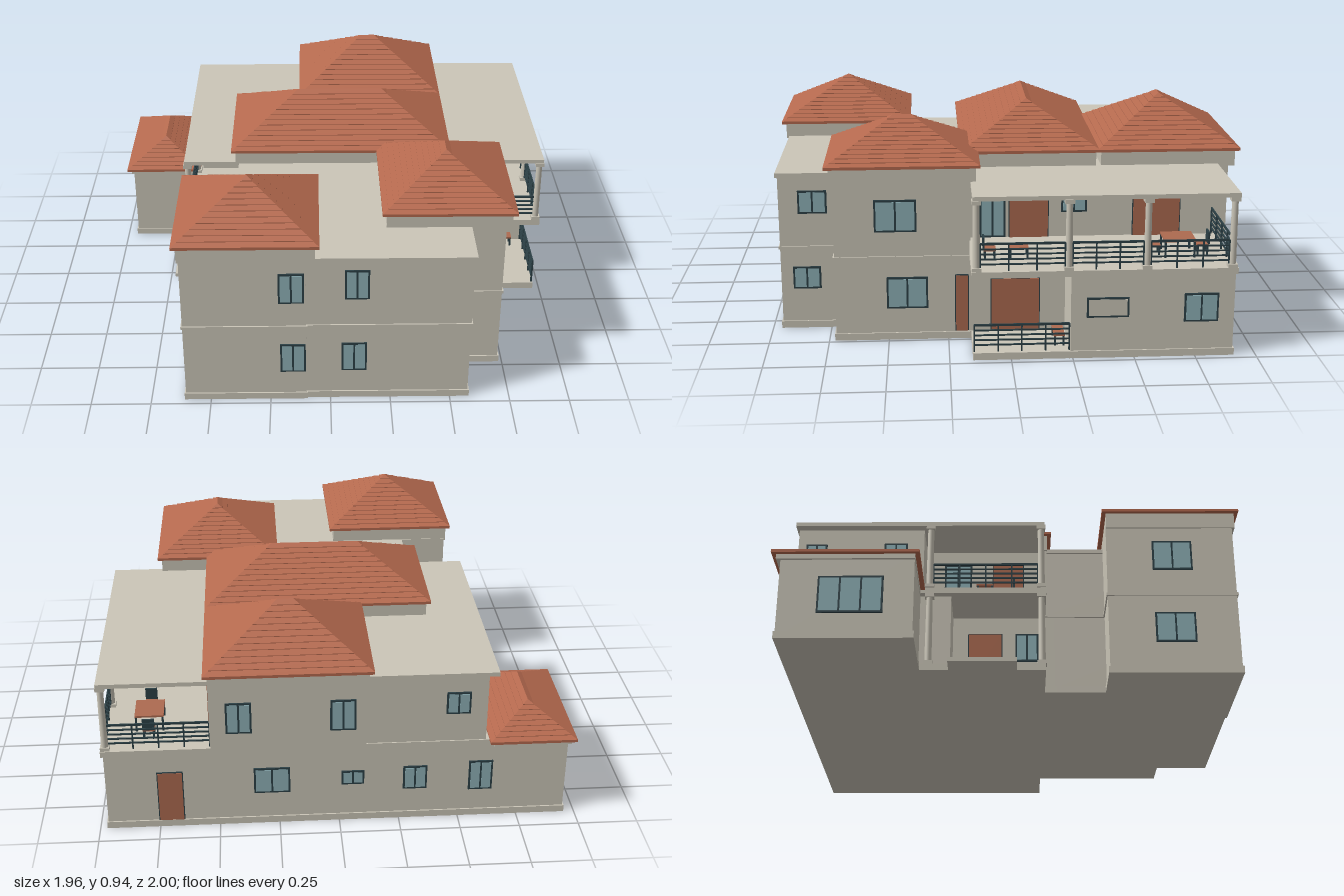
import * as THREE from 'three';

export function createModel() {
  const mat = (name, color, side = THREE.FrontSide) =>
    Object.assign(new THREE.MeshStandardMaterial({ color, side }), { name });
  const wall = mat('wall plaster', 0xcbc6b8);
  const tile = mat('roof tile', 0xb4694e);
  const wood = mat('door wood', 0xad6a50);
  const glass = mat('window glass', 0x8fb2b8);
  const metal = mat('dark metal', 0x2c4046);
  const house = new THREE.Group();
  house.name = 'house';

  const add = (parent, name, geo, m) => {
    const mesh = new THREE.Mesh(geo, m);
    mesh.name = name;
    parent.add(mesh);
    return mesh;
  };
  // Box given by its limits on each axis
  const box = (name, x0, x1, y0, y1, z0, z1, m = wall, parent = house) => {
    const b = add(parent, name, new THREE.BoxGeometry(x1 - x0, y1 - y0, z1 - z0), m);
    b.position.set((x0 + x1) / 2, (y0 + y1) / 2, (z0 + z1) / 2);
    return b;
  };

  // Hip roof laid in stepped tile courses
  function hipRoof(name, x0, x1, z0, z1, y0, y1, courses = 12) {
    const half = Math.min(x1 - x0, z1 - z0) / 2, step = 0.003, pos = [];
    const ring = (t, y) => {
      const i = half * t;
      return [[x0 + i, y, z1 - i], [x1 - i, y, z1 - i], [x1 - i, y, z0 + i], [x0 + i, y, z0 + i]];
    };
    const rings = [ring(0, y0)];
    for (let c = 0; c < courses; c++) {
      const a = c / courses, b = (c + 1) / courses, base = y0 + 0.012, rise = y1 - base;
      rings.push(ring(a, base + rise * a), ring(b, base + rise * b - (c < courses - 1 ? step : 0)));
    }
    for (let r = 0; r + 1 < rings.length; r++) {
      for (let k = 0; k < 4; k++) {
        const n = (k + 1) % 4, [a, b] = [rings[r], rings[r + 1]];
        pos.push(...a[k], ...a[n], ...b[n], ...a[k], ...b[n], ...b[k]);
      }
    }
    const u = rings[0];
    pos.push(...u[0], ...u[2], ...u[1], ...u[0], ...u[3], ...u[2]);
    const g = new THREE.BufferGeometry();
    g.setAttribute('position', new THREE.Float32BufferAttribute(pos, 3));
    g.computeVertexNormals();
    add(house, name, g, tile);
  }

  // Group lying on a wall: side is front, right, back or left; u runs along x or z
  const turns = { front: 0, right: Math.PI / 2, back: Math.PI, left: -Math.PI / 2 };
  function onWall(name, side, plane, u, y) {
    const g = new THREE.Group();
    g.name = name;
    g.rotation.y = turns[side];
    if (side === 'front' || side === 'back') g.position.set(u, y, plane);
    else g.position.set(plane, y, u);
    house.add(g);
    return g;
  }
  function windowAt(side, plane, u, y, w, h, panes = 2, m = glass) {
    const g = onWall('window', side, plane, u, y), f = 0.008;
    box('windowFrame', -w / 2, w / 2, -h / 2, h / 2, -0.002, 0.006, metal, g);
    const pw = (w - f * (panes + 1)) / panes;
    for (let i = 0; i < panes; i++) {
      const x = -w / 2 + f + i * (pw + f);
      box('windowPane', x, x + pw, -h / 2 + f, h / 2 - f, 0, 0.008, m, g);
    }
  }
  function doorAt(side, plane, u, y0, w, h) {
    const g = onWall('door', side, plane, u, y0);
    box('doorFrame', -w / 2 - 0.004, w / 2 + 0.004, 0, h + 0.004, -0.002, 0.005, metal, g);
    box('doorLeaf', -w / 2, w / 2, 0, h, 0, 0.008, wood, g);
  }

  // Railing with level bars between posts
  function railing(xa, za, xb, zb, y) {
    const g = new THREE.Group(), len = Math.hypot(xb - xa, zb - za), n = Math.max(2, Math.round(len / 0.11));
    g.name = 'railing';
    g.position.set(xa, y, za);
    g.rotation.y = Math.atan2(-(zb - za), xb - xa);
    for (let i = 0; i < 5; i++) {
      const yy = 0.025 + i * 0.021;
      box('railBar', 0, len, yy, yy + (i === 4 ? 0.009 : 0.006), -0.003, 0.003, metal, g);
    }
    for (let i = 0; i <= n; i++) {
      const x = (len * i) / n;
      box('railPost', x - 0.003, x + 0.003, 0, 0.115, -0.004, 0.004, metal, g);
    }
    house.add(g);
  }
  function column(x, z, y0, y1) {
    const c = add(house, 'column', new THREE.CylinderGeometry(0.013, 0.015, y1 - y0, 16), wall);
    c.position.set(x, (y0 + y1) / 2, z);
    box('columnBase', x - 0.019, x + 0.019, y0, y0 + 0.015, z - 0.019, z + 0.019);
    box('columnCapital', x - 0.019, x + 0.019, y1 - 0.018, y1, z - 0.019, z + 0.019);
  }
  // Table, bench or seat on four legs, with an optional back rest
  function furniture(name, x, z, y, w, d, h, top, back = 0) {
    const g = new THREE.Group();
    g.name = name;
    g.position.set(x, y, z);
    box('top', -w / 2, w / 2, h - 0.008, h, -d / 2, d / 2, top, g);
    for (const sx of [-1, 1]) for (const sz of [-1, 1]) {
      const lx = sx * (w / 2 - 0.005), lz = sz * (d / 2 - 0.005);
      box('leg', lx - 0.004, lx + 0.004, 0, h - 0.008, lz - 0.004, lz + 0.004, metal, g);
    }
    if (back) box('backRest', -w / 2, w / 2, h, h + 0.05, back * d / 2 - 0.004, back * d / 2 + 0.004, metal, g);
    house.add(g);
  }

  // Ground floor rooms, each on a slightly wider plinth: x0, x1, z0, z1
  const rooms = [
    [-0.605, 0.965, -0.905, -0.24], [-0.95, -0.6, -0.905, -0.37], [-0.39, 0.73, -0.3, 0.2],
    [-0.605, -0.1, 0.42, 0.965], [-0.39, 0.575, 0.15, 0.957], [0.23, 0.73, 0.16, 0.72],
  ];
  for (const [x0, x1, z0, z1] of rooms) {
    box('groundRoom', x0, x1, 0, 0.37, z0, z1);
    box('plinth', x0 - 0.006, x1 + 0.006, 0, 0.03, z0 - 0.006, z1 + 0.006);
  }
  // Porch floors and entrance step
  box('rightPorchFloor', 0.6, 0.97, 0, 0.03, -0.3, 0.155);
  box('leftPorchFloor', -0.64, -0.38, 0, 0.03, -0.38, 0.155);
  box('entranceStep', -0.73, -0.63, 0, 0.018, -0.245, 0.035);

  // Balcony floors
  box('rightBalconyFloor', 0.5, 0.975, 0.352, 0.378, -0.913, 0.16);
  box('leftBalconyFloor', -0.64, -0.38, 0.352, 0.378, -0.38, 0.16);

  // Upper floor rooms
  box('upperBackRoom', -0.605, 0.53, 0.36, 0.68, -0.9, -0.36);
  box('upperMiddleRoom', -0.4, 0.53, 0.36, 0.68, -0.38, 0.17);
  box('upperBay', -0.105, 0.525, 0.345, 0.69, -0.955, -0.4);
  box('upperFrontRoom', -0.39, 0.575, 0.36, 0.68, 0.15, 0.957);
  box('upperLeftTower', -0.605, -0.1, 0.36, 0.69, 0.42, 0.965);
  box('upperRightTower', 0.23, 0.73, 0.36, 0.69, 0.16, 0.72);

  // Ledge between the floors
  for (const [x0, x1, z0, z1] of rooms.slice(3)) {
    box('floorLedge', x0 - 0.006, x1 + 0.006, 0.355, 0.368, z0 - 0.006, z1 + 0.006);
  }

  // Flat roofs
  box('backFlatRoof', -0.645, 0.972, 0.672, 0.69, -0.91, 0.155);
  box('frontFlatRoof', -0.398, 0.585, 0.672, 0.69, 0.14, 0.966);

  // Hip roofs with a deep trim box beneath: x0, x1, z0, z1, trim base, eaves, peak
  const roofs = [
    ['backRoof', -0.13, 0.545, -1, -0.39, 0.68, 0.75, 0.942],
    ['middleRoof', -0.43, 0.545, -0.405, 0.19, 0.68, 0.75, 0.925],
    ['rightTowerRoof', 0.215, 0.77, 0.115, 0.75, 0.68, 0.75, 0.915],
    ['leftTowerRoof', -0.63, -0.045, 0.405, 0.995, 0.68, 0.75, 0.925],
    ['lowWingRoof', -0.98, -0.62, -0.94, -0.35, 0.345, 0.365, 0.472],
  ];
  for (const [name, x0, x1, z0, z1, yt, y0, y1] of roofs) {
    box(name + 'Trim', x0 + 0.018, x1 - 0.018, yt, y0, z0 + 0.018, z1 - 0.018);
    hipRoof(name, x0, x1, z0, z1, y0, y1, y0 < 0.5 ? 8 : 12);
  }

  // Columns and railings of the balconies and porches
  const posts = [0.14, -0.23, -0.545, -0.89];
  for (const z of posts) column(0.955, z, 0.378, 0.674);
  for (let i = 0; i < 3; i++) railing(0.958, posts[i] - 0.015, 0.958, posts[i + 1] + 0.015, 0.378);
  railing(0.73, 0.142, 0.945, 0.142, 0.378);
  railing(0.53, -0.892, 0.945, -0.892, 0.378);
  railing(0.962, 0.15, 0.962, -0.235, 0.035);
  for (const z of [0.14, -0.33]) {
    column(-0.63, z, 0.378, 0.674);
    column(-0.622, z, 0.03, 0.354);
  }
  railing(-0.63, -0.315, -0.63, 0.125, 0.378);
  railing(-0.615, 0.142, -0.4, 0.142, 0.378);

  // Windows: side, wall plane, position along it, centre height, width, height, panes
  const windows = [
    ['front', 0.965, -0.16, 0.55, 0.105, 0.14], ['front', 0.957, 0.107, 0.562, 0.1, 0.137],
    ['front', 0.965, -0.155, 0.208, 0.105, 0.137], ['front', 0.957, 0.097, 0.208, 0.105, 0.137],
    ['right', 0.575, 0.815, 0.562, 0.122, 0.1], ['right', 0.575, 0.847, 0.227, 0.118, 0.098],
    ['right', 0.73, 0.465, 0.543, 0.175, 0.137], ['right', 0.73, 0.42, 0.208, 0.172, 0.137],
    ['right', 0.965, -0.77, 0.21, 0.14, 0.122], ['right', 0.53, 0.055, 0.49, 0.11, 0.222],
    ['right', 0.53, -0.295, 0.543, 0.11, 0.112], ['back', -0.905, 0.28, 0.21, 0.15, 0.12],
    ['back', -0.905, -0.055, 0.21, 0.095, 0.065], ['back', -0.905, -0.315, 0.2, 0.1, 0.11],
    ['back', -0.905, -0.59, 0.2, 0.1, 0.14], ['back', -0.955, 0.41, 0.545, 0.105, 0.14],
    ['back', -0.955, -0.01, 0.545, 0.105, 0.14], ['back', -0.9, -0.485, 0.55, 0.1, 0.1],
    ['left', -0.605, -0.82, 0.55, 0.09, 0.1], ['left', -0.605, -0.48, 0.55, 0.1, 0.11],
    ['left', -0.95, -0.62, 0.19, 0.26, 0.16, 3], ['left', -0.605, 0.7, 0.545, 0.17, 0.137],
    ['left', -0.605, 0.7, 0.208, 0.17, 0.137], ['left', -0.4, -0.22, 0.545, 0.12, 0.12],
    ['left', -0.39, 0.08, 0.21, 0.1, 0.13],
  ];
  for (const w of windows) windowAt(...w);
  windowAt('right', 0.965, -0.39, 0.217, 0.172, 0.085, 1, wall); // serving hatch

  // Doors: side, wall plane, position along it, sill height, width, height
  for (const d of [
    ['right', 0.73, -0.03, 0.032, 0.2, 0.23], ['right', 0.73, 0.193, 0.035, 0.05, 0.245],
    ['right', 0.53, -0.1, 0.378, 0.165, 0.225], ['right', 0.53, -0.65, 0.378, 0.2, 0.225],
    ['back', -0.905, 0.7, 0.032, 0.1, 0.23], ['left', -0.39, -0.1, 0.032, 0.14, 0.24],
    ['left', -0.4, 0, 0.378, 0.13, 0.225],
  ]) doorAt(...d);

  // Porch and balcony furniture
  furniture('porchBench', 0.85, -0.2, 0.03, 0.12, 0.045, 0.05, wood);
  furniture('balconyTable', 0.78, -0.7, 0.378, 0.12, 0.13, 0.075, wood);
  furniture('balconyChair', 0.78, -0.8, 0.378, 0.05, 0.05, 0.045, wood, -1);
  furniture('balconyChair', 0.78, -0.6, 0.378, 0.05, 0.05, 0.045, wood, 1);
  furniture('balconyBench', 0.78, -0.04, 0.378, 0.06, 0.08, 0.045, wood);
  furniture('balconyChair', 0.8, 0.08, 0.378, 0.05, 0.05, 0.045, wood, 1);
  furniture('leftBalconyTable', -0.52, -0.1, 0.378, 0.07, 0.07, 0.06, wood);
  furniture('leftBalconyChair', -0.52, 0, 0.378, 0.05, 0.05, 0.045, wood, 1);
  return house;
}
